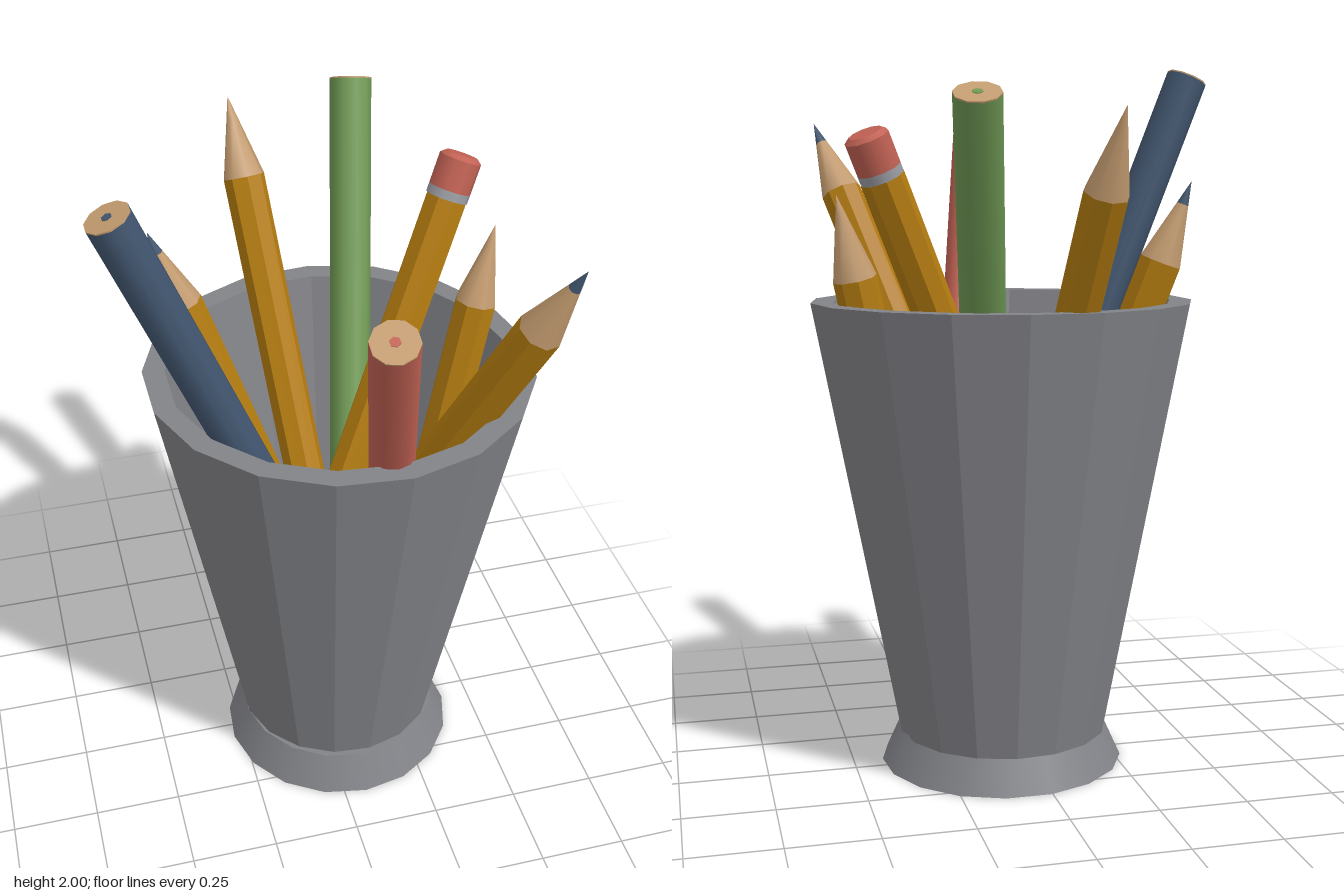
import * as THREE from 'three';

const UP = new THREE.Vector3(0, 1, 0);

function mat(name, color) {
  const m = new THREE.MeshStandardMaterial({ color });
  m.name = name;
  return m;
}

function flat(geometry) {
  const g = geometry.index ? geometry.toNonIndexed() : geometry;
  g.computeVertexNormals();
  return g;
}

export function createModel() {
  const grey = mat('cupGrey', 0x828388);
  const yellow = mat('pencilYellow', 0xb47c10);
  const wood = mat('wood', 0xc49c70);
  const blue = mat('blue', 0x42566f);
  const red = mat('red', 0xc26254);
  const green = mat('green', 0x6f9854);
  const metal = mat('ferruleMetal', 0x9a9da3);

  const model = new THREE.Group();
  model.name = 'pencilCup';

  function add(parent, name, geometry, material) {
    const mesh = new THREE.Mesh(geometry, material);
    mesh.name = name;
    parent.add(mesh);
    return mesh;
  }

  // Faceted cup: outer wall, rim, inner wall and floor in one profile
  const profile = [[0, 0.1], [0.3, 0.1], [0.538, 1.34], [0.476, 1.34], [0.268, 0.27], [0, 0.27]]
    .map(([r, y]) => new THREE.Vector2(r, y));
  const cup = add(model, 'cup', flat(new THREE.LatheGeometry(profile, 17)), grey);
  cup.rotation.y = Math.PI / 2;
  cup.position.x = 0.067;

  // Flared foot
  const foot = add(model, 'foot', new THREE.CylinderGeometry(0.3, 0.35, 0.11, 17), grey);
  foot.position.set(0.067, 0.055, 0.02);

  const R = 0.06, CONE = 0.23, LEAD = 0.065;

  // Group whose local y runs from the lower to the upper end
  function stick(name, top, bottom) {
    const a = new THREE.Vector3(...bottom), d = new THREE.Vector3(...top).sub(a);
    const group = new THREE.Group();
    group.name = name;
    group.position.copy(a);
    group.userData.length = d.length();
    group.quaternion.setFromUnitVectors(UP, d.normalize());
    model.add(group);
    return group;
  }

  // Straight or tapered section between two heights along a pencil
  function section(parent, name, y0, y1, r0, r1, material, sides, faceted) {
    let g = new THREE.CylinderGeometry(r1, r0, y1 - y0, sides);
    if (faceted) g = flat(g);
    add(parent, name, g, material).position.y = (y0 + y1) / 2;
  }

  // Sharpened point, facing up (dir 1) or down (dir -1), ending at height y
  function point(parent, y, dir, leadMaterial, sides) {
    const tip = new THREE.Group();
    tip.name = 'sharpenedPoint';
    tip.position.y = y;
    if (dir < 0) tip.rotation.x = Math.PI;
    parent.add(tip);
    const r = R * LEAD / CONE;
    section(tip, 'woodCone', -CONE, -LEAD, R, r, wood, sides, false);
    section(tip, 'leadTip', -LEAD, 0, r, 0, leadMaterial, sides, false);
  }

  // Coloured pencils, point down with the cut end showing
  const coloured = [
    ['bluePencil', [-0.547, 1.978, 0.2], [0.12, 0.33, 0.14], blue],
    ['redPencil', [0.012, 1.832, 0.655], [0.255, 0.3, -0.06], red],
    ['greenPencil', [0.275, 1.872, -0.655], [0.075, 0.3, 0.13], green],
  ];
  for (const [name, top, bottom, material] of coloured) {
    const p = stick(name, top, bottom), L = p.userData.length;
    section(p, 'barrel', CONE, L - 0.004, R, R, material, 10, false);
    section(p, 'cutEnd', L - 0.004, L, R, R, wood, 10, false);
    section(p, 'leadCore', L - 0.003, L + 0.002, 0.014, 0.014, material, 6, false);
    point(p, 0, -1, material, 10);
  }

  // Yellow pencils, point up
  const sharpened = [
    ['frontYellowPencil', [0.533, 1.845, 0.497], [0.0, 0.3, -0.11], blue],
    ['leftYellowPencil', [-0.397, 1.67, -0.265], [0.08, 0.3, -0.075], blue],
    ['backYellowPencil', [-0.083, 1.845, -0.678], [0.07, 0.3, 0.06], wood],
    ['sideYellowPencil', [0.545, 1.635, -0.13], [0.25, 0.3, -0.005], wood],
  ];
  for (const [name, top, bottom, lead] of sharpened) {
    const p = stick(name, top, bottom), L = p.userData.length;
    section(p, 'barrel', 0, L - CONE, R, R, yellow, 8, true);
    point(p, L, 1, lead, 8);
  }

  // Yellow pencil with eraser, point down
  const e = stick('eraserPencil', [0.485, 1.79, -0.265], [-0.12, 0.34, 0.07]);
  const L = e.userData.length;
  section(e, 'barrel', CONE, L - 0.125, R, R, yellow, 8, true);
  section(e, 'ferrule', L - 0.125, L - 0.1, R, R, metal, 10, false);
  section(e, 'eraser', L - 0.1, L - 0.012, R, R, red, 10, false);
  section(e, 'eraserTop', L - 0.012, L, R, R * 0.75, red, 10, false);
  point(e, 0, -1, blue, 8);

  return model;
}
